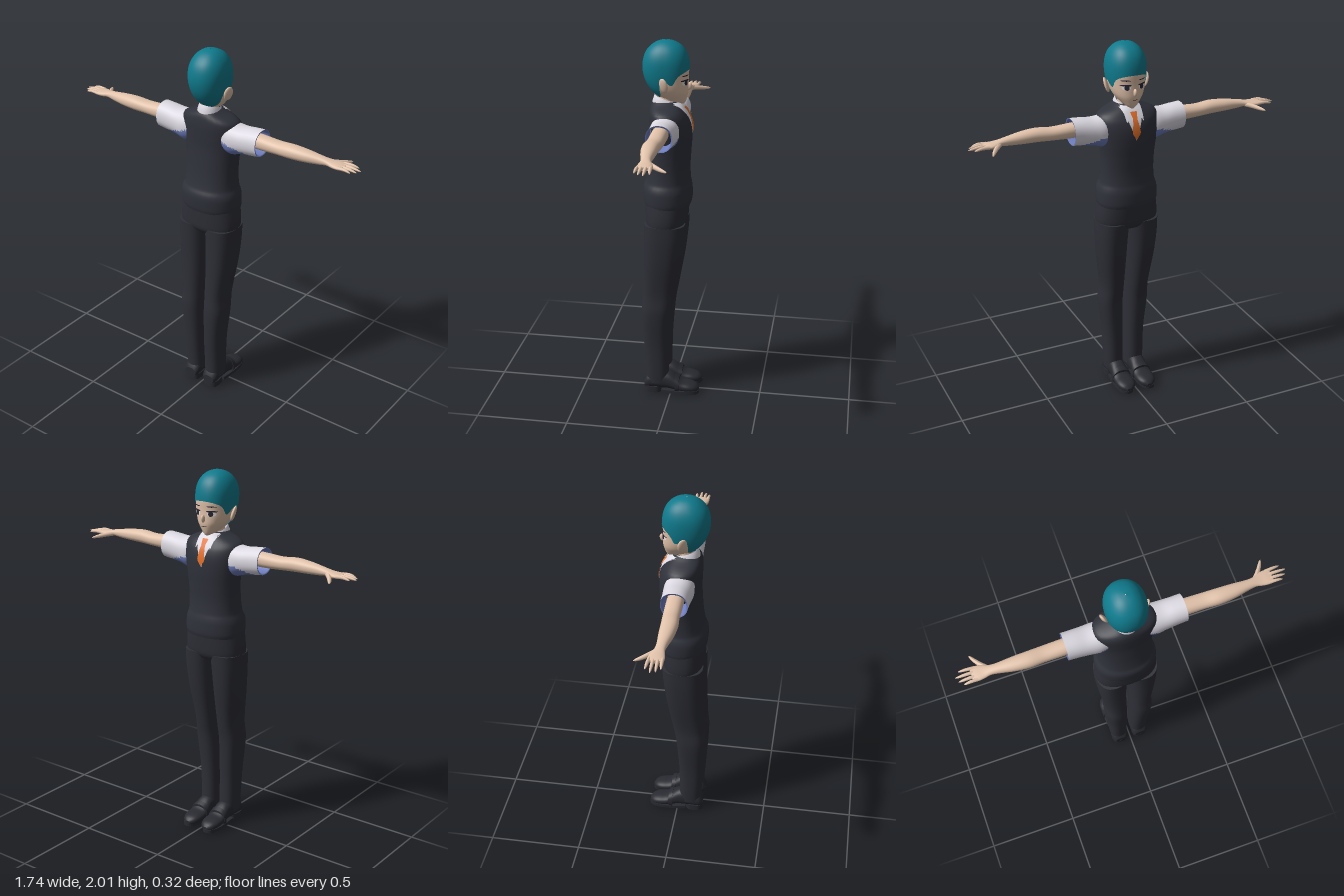
import * as THREE from 'three';

const mat = (name, color, side = THREE.DoubleSide) => Object.assign(new THREE.MeshStandardMaterial({ color, side }), { name });
const M = {
  hair: mat('teal hair', 0x0f7a8c), skin: mat('skin', 0xe2c3ab), vest: mat('vest charcoal', 0x30323b),
  trousers: mat('trouser charcoal', 0x2e2f37), shoe: mat('shoe black', 0x292a31), shirt: mat('shirt white', 0xdcd9e2),
  shade: mat('shirt blue lining', 0x6f7fc0), tie: mat('orange tie', 0xe2702a),
  dark: mat('eye dark', 0x2a2634), white: mat('eye white', 0xf2efee),
};

// Smoothly interpolated row of a profile table; column 0 is the key
function at(rows, k) {
  const n = rows.length - 1;
  let i = 0;
  while (i < n - 1 && k > rows[i + 1][0]) i++;
  const a = rows[i], b = rows[i + 1], h = b[0] - a[0], t = Math.min(1, Math.max(0, (k - a[0]) / h));
  const p = rows[Math.max(0, i - 1)], q = rows[Math.min(n, i + 2)];
  return a.map((_, c) => {
    if (c === 0) return k;
    const m0 = (b[c] - p[c]) / (b[0] - p[0]) * h, m1 = (q[c] - a[c]) / (q[0] - a[0]) * h;
    const t2 = t * t, t3 = t2 * t;
    return (2 * t3 - 3 * t2 + 1) * a[c] + (t3 - 2 * t2 + t) * m0 + (3 * t2 - 2 * t3) * b[c] + (t3 - t2) * m1;
  });
}
const resample = (rows, n) => Array.from({ length: n + 1 }, (_, i) =>
  at(rows, rows[0][0] + (rows[rows.length - 1][0] - rows[0][0]) * i / n));

// Superellipse point and closed rings across each axis
const se = (a, n) => [Math.cos(a), Math.sin(a)].map(v => Math.sign(v) * Math.abs(v) ** (2 / n));
const ring = (f, n = 2.2, seg = 32) => Array.from({ length: seg }, (_, j) => {
  const a = j / seg * Math.PI * 2;
  return f(...se(a, n), a);
});
const ringY = ([y, x0, x1, z0, z1], n) => ring((c, s) => [(x0 + x1) / 2 + c * (x1 - x0) / 2, y, (z0 + z1) / 2 + s * (z1 - z0) / 2], n);
const ringX = ([x, y0, y1, z0, z1], n) => ring((c, s) => [x, (y0 + y1) / 2 + c * (y1 - y0) / 2, (z0 + z1) / 2 - s * (z1 - z0) / 2], n);
const sym = ([y, w, z0, z1]) => [y, -w, w, z0, z1];

// Skin over closed rings; pick(x, y) chooses the second material
function loft(rings, caps = true, pick = null) {
  const m = rings[0].length, pos = rings.flat(2), sets = [[], []];
  const put = (a, b, c) => {
    const mid = k => (pos[a * 3 + k] + pos[b * 3 + k] + pos[c * 3 + k]) / 3;
    sets[pick && pick(mid(0), mid(1)) ? 1 : 0].push(a, b, c);
  };
  for (let i = 0; i < rings.length - 1; i++) for (let j = 0; j < m; j++) {
    const a = i * m + j, b = i * m + (j + 1) % m;
    put(a, a + m, b); put(b, a + m, b + m);
  }
  if (caps) [rings[0], rings[rings.length - 1]].forEach((r, e) => {
    const base = pos.length / 3;
    pos.push(...r.flat(), ...[0, 1, 2].map(k => r.reduce((s, p) => s + p[k], 0) / m));
    for (let j = 0; j < m; j++) {
      const a = base + j, b = base + (j + 1) % m;
      e ? put(a, base + m, b) : put(b, base + m, a);
    }
  });
  const g = new THREE.BufferGeometry();
  g.setAttribute('position', new THREE.Float32BufferAttribute(pos, 3));
  g.setIndex([...sets[0], ...sets[1]]);
  if (pick) { g.addGroup(0, sets[0].length, 0); g.addGroup(sets[0].length, sets[1].length, 1); }
  g.computeVertexNormals();
  return g;
}

// Thin plate hugging a front surface; edges(v) gives its left and right x
function patch(zAt, y0, y1, edges, off) {
  const pos = [], idx = [], U = 8, V = 12;
  for (let i = 0; i <= V; i++) for (let j = 0; j <= U; j++) {
    const [l, r] = edges(i / V), x = l + (r - l) * j / U, y = y0 + (y1 - y0) * i / V;
    pos.push(x, y, zAt(x, y) - off);
    if (i < V && j < U) { const a = i * (U + 1) + j, b = a + U + 1; idx.push(a, b, a + 1, a + 1, b, b + 1); }
  }
  const g = new THREE.BufferGeometry();
  g.setAttribute('position', new THREE.Float32BufferAttribute(pos, 3));
  g.setIndex(idx);
  g.computeVertexNormals();
  return g;
}
const frontZ = (rows, inset = 0) => (x, y) => {
  const [, w, z0, z1] = at(rows, y), k = Math.min(1, Math.abs(x) / (w - inset));
  return (z0 + z1) / 2 - ((z1 - z0) / 2 - inset) * (1 - k ** 2.2) ** (1 / 2.2);
};
const oval = (cx, hw) => v => { const w = hw * Math.sqrt(Math.max(0, 1 - (2 * v - 1) ** 2)); return [cx - w, cx + w]; };

// Profiles: height, half width, front z, back z
const HEAD = [[1.668, .014, -.066, -.03], [1.68, .034, -.073, .02], [1.7, .054, -.08, .07], [1.73, .077, -.087, .105],
  [1.76, .09, -.088, .128], [1.8, .099, -.087, .147], [1.85, .104, -.089, .157], [1.9, .102, -.084, .153], [1.94, .09, -.07, .138],
  [1.97, .07, -.046, .112], [1.988, .047, -.017, .085], [1.996, .027, .007, .062], [2, .003, .033, .038]];
const TORSO = [[1.12, .163, -.1, .146], [1.14, .167, -.105, .151], [1.2, .166, -.105, .155], [1.225, .16, -.102, .151],
  [1.25, .15, -.097, .14], [1.32, .145, -.093, .128], [1.4, .147, -.097, .121], [1.48, .156, -.102, .117], [1.55, .165, -.1, .119],
  [1.6, .168, -.088, .12], [1.63, .158, -.07, .118], [1.65, .125, -.055, .115], [1.665, .085, -.043, .11], [1.68, .058, -.025, .1]];
// Lowest point of the hair against direction (-1 front, 1 back)
const HAIRLINE = [[-1, 1.852], [-.8, 1.842], [-.55, 1.822], [-.32, 1.782], [-.15, 1.785], [.05, 1.81], [.25, 1.77], [.45, 1.725], [1, 1.695]];
// Leg: height, inner x, outer x, front z, back z
const LEG = [[.06, .012, .112, .012, .137], [.12, .011, .115, .012, .138], [.3, .011, .121, .01, .15], [.5, .012, .14, -.005, .159],
  [.6, .012, .136, -.022, .151], [.8, .008, .16, -.057, .142], [.93, .003, .17, -.073, .14], [1.02, -.004, .171, -.08, .14]];
// Arm: x, bottom, top, front z, back z
const ARM = [[.25, 1.53, 1.61, -.02, .066], [.33, 1.53, 1.606, -.02, .066], [.42, 1.534, 1.602, -.018, .066], [.5, 1.537, 1.608, -.014, .071],
  [.58, 1.54, 1.603, -.012, .063], [.66, 1.546, 1.592, -.008, .046], [.7, 1.552, 1.585, -.012, .041], [.73, 1.549, 1.58, -.026, .046],
  [.765, 1.551, 1.577, -.031, .05], [.79, 1.556, 1.573, -.027, .048]];
const SLEEVE = [[.11, 1.47, 1.632, -.05, .095], [.15, 1.46, 1.626, -.058, .098], [.2, 1.474, 1.622, -.055, .094],
  [.26, 1.483, 1.628, -.051, .091], [.315, 1.49, 1.632, -.05, .09]];
// Shoe upper: -z, half width, bottom, top
const SHOE = [[-.146, .034, .02, .07], [-.13, .045, .018, .1], [-.06, .047, .018, .125], [-.01, .047, .018, .12], [.025, .049, .014, .1],
  [.06, .053, .012, .072], [.11, .051, .01, .062], [.145, .036, .01, .05], [.16, .014, .012, .034]];

function buildSide(add) {
  add('trouserLeg', loft(resample(LEG, 40).map(r => ringY(r, 2.4))), M.trousers);

  // Shoe upper, sole and heel
  add('shoe', loft(resample(SHOE, 30).map(([k, w, b, t]) => ring((c, s) => [.062 + c * w, (b + t) / 2 + s * (t - b) / 2, -k], 2.3))), M.shoe);
  const sole = new THREE.Shape().moveTo(.025, .05).bezierCurveTo(.02, -.06, .01, -.162, .066, -.162)
    .bezierCurveTo(.122, -.162, .118, -.06, .104, .05);
  add('sole', new THREE.ExtrudeGeometry(sole, { depth: .018, bevelEnabled: false, curveSegments: 16 }).rotateX(Math.PI / 2).translate(0, .019, 0), M.shoe);
  add('heel', loft([0, .035].map(y => ringY([y, .018, .108, .05, .147], 3))), M.shoe);
  add('shoeStrap', loft([-.028, -.05].map(z => ring((c, s) => [.062 + c * .054, .048 + s * (.043 + (z + .05) * .6), z], 2.3))), M.shoe);

  // Short sleeve with blue shade under the arm and inside the cuff
  add('sleeve', loft(resample(SLEEVE, 20).map(r => ringX(r)), false, (x, y) => y < 1.53 - (x - .15) * .3), [M.shirt, M.shade]);
  const cuff = [[.315, 0], [.313, .008], [.23, .01]].map(([x, d]) => ringX([x, 1.49 + d, 1.632 - d, -.05 + d, .09 - d]));
  add('cuffLining', loft(cuff, false), M.shade);

  // Arm, palm, fingers and thumb
  add('arm', loft(resample(ARM, 40).map(r => ringX(r))), M.skin);
  const finger = (name, path, r) => {
    const curve = new THREE.CatmullRomCurve3(path.map(p => new THREE.Vector3(...p)));
    const g = new THREE.TubeGeometry(curve, 12, r, 10), p = g.attributes.position;
    for (let i = 0; i <= 12; i++) {
      const c = curve.getPointAt(i / 12), k = Math.sqrt(Math.max(.01, 1 - (i / 12) ** 4)) * (1 - .25 * i / 12);
      for (let j = 0; j <= 10; j++) {
        const v = new THREE.Vector3().fromBufferAttribute(p, i * 11 + j).sub(c).multiplyScalar(k).add(c);
        p.setXYZ(i * 11 + j, v.x, v.y, v.z);
      }
    }
    g.computeVertexNormals();
    add(name, g, M.skin);
  };
  [[-.022, -.03, .848], [-.001, -.003, .872], [.02, .022, .862], [.04, .044, .84]].forEach(([z0, z1, x]) =>
    finger('finger', [[.765, 1.565, z0], [.81, 1.567, (z0 + z1) / 2], [x, 1.56, z1]], .0098));
  finger('thumb', [[.705, 1.564, 0], [.735, 1.558, -.035], [.758, 1.552, -.068], [.775, 1.548, -.098]], .0135);

  // Ear
  const ear = new THREE.SphereGeometry(1, 20, 14).scale(.011, .042, .025).rotateZ(-.3).rotateY(-.45).translate(.109, 1.783, .03);
  add('ear', ear, M.skin);

  // Eye and brow plates
  const face = frontZ(HEAD, .004);
  add('eyeWhite', patch(face, 1.773, 1.801, oval(.043, .021), .002), M.white);
  add('iris', patch(face, 1.773, 1.802, oval(.041, .012), .0035), M.dark);
  add('upperLash', patch(face, 1.796, 1.805, oval(.045, .027), .0045), M.dark);
  add('brow', patch(face, 1.822, 1.828, oval(.045, .024), .003), M.dark);

  // Folded collar point
  add('collarPoint', patch(frontZ(TORSO), 1.605, 1.678, v => [.045 - .037 * v, .048 + .006 * v], .009), M.shirt);
}

export function createModel() {
  const root = new THREE.Group();
  root.name = 'figure';
  const adder = group => (name, geo, material) => {
    const m = new THREE.Mesh(geo, material);
    m.name = name;
    group.add(m);
    return m;
  };
  const add = adder(root);

  // Head, nose, mouth and neck
  const skull = resample(HEAD, 60).filter(r => r[0] < 1.972).map(([y, w, a, b]) => ringY([y, .004 - w, w - .004, a + .004, b - .004]));
  add('head', loft(skull), M.skin);
  add('nose', new THREE.SphereGeometry(1, 16, 12).scale(.009, .021, .015).rotateX(-.25).translate(0, 1.76, -.087), M.skin);
  add('mouth', patch(frontZ(HEAD, .004), 1.717, 1.7205, oval(0, .018), .002), M.dark);
  add('neck', new THREE.CylinderGeometry(.042, .046, .13, 28).translate(0, 1.665, .032), M.skin);

  // Cropped hair shell following the hairline
  const hair = Array.from({ length: 33 }, (_, i) => ring((c, s, a) => {
    const low = at(HAIRLINE, Math.sin(a))[1], y = low + (2 - low) * Math.sin(i / 32 * Math.PI / 2);
    const [, w, z0, z1] = at(HEAD, y);
    return [c * w, y, (z0 + z1) / 2 + s * (z1 - z0) / 2];
  }, 2.2, 64));
  add('hair', loft(hair, false), M.hair);

  // Vest, shirt front, collar and tie
  add('vest', loft(resample(TORSO, 70).map(r => ringY(sym(r)))), M.vest);
  const chest = frontZ(TORSO);
  add('shirtFront', patch(chest, 1.505, 1.672, v => [-.06 * v, .06 * v], .004), M.shirt);
  add('tieBlade', patch(chest, 1.512, 1.625, v => {
    const w = v < .3 ? .024 * v / .3 : .024 - .013 * (v - .3) / .7;
    return [-w, w];
  }, .009), M.tie);
  add('tieKnot', patch(chest, 1.62, 1.652, v => [-.012 - .007 * v, .012 + .007 * v], .012), M.tie);
  const collar = [[1.645, .068, .074], [1.68, .062, .068], [1.708, .053, .058], [1.706, .049, .054], [1.66, .05, .056]];
  add('collar', loft(collar.map(([y, w, d]) => ring((c, s) => [c * w, y + s * .018 - .012, .036 + s * d])), false), M.shirt);

  // Hips of the trousers
  const hips = [[.985, .155, -.06, .12], [1.01, .169, -.077, .137], [1.06, .171, -.084, .141], [1.15, .16, -.09, .142]];
  add('trouserHips', loft(resample(hips, 12).map(r => ringY(sym(r), 2.4))), M.trousers);

  // Paired parts, mirrored
  for (const s of [1, -1]) {
    const side = new THREE.Group();
    side.name = s > 0 ? 'leftSide' : 'rightSide';
    side.scale.x = s;
    buildSide(adder(side));
    root.add(side);
  }
  return root;
}
